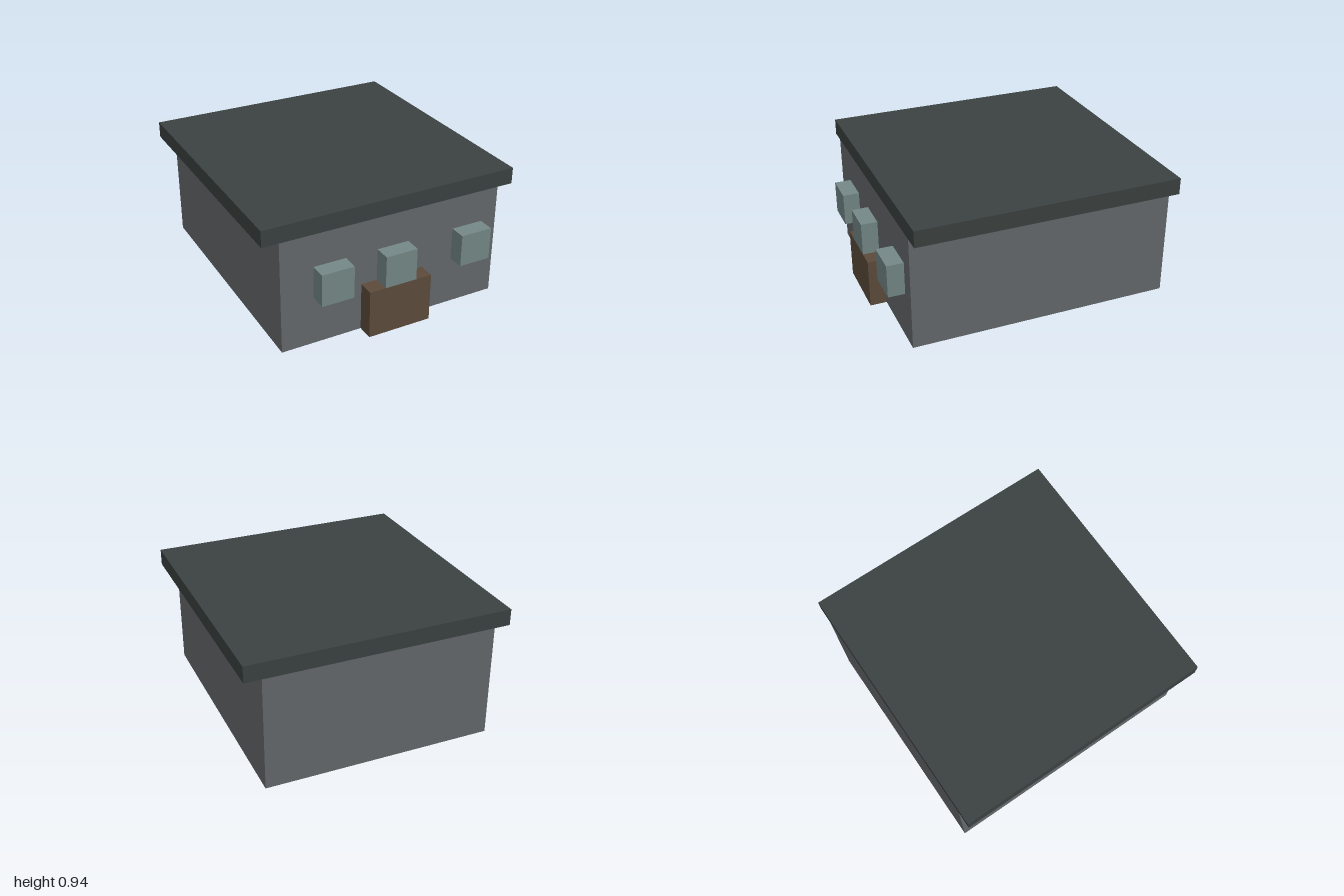
import * as THREE from 'three';

// One block of the building grid
const U = 2 / 17;

const material = (name, color) => {
  const m = new THREE.MeshStandardMaterial({ color });
  m.name = name;
  return m;
};

export function createModel() {
  const house = new THREE.Group();
  house.name = 'house';

  const wallGrey = material('wall grey', 0x65696c);
  const roofSlate = material('roof slate', 0x3b4241);
  const doorBrown = material('door brown', 0x5d4b3b);
  const windowTeal = material('window teal', 0x748887);

  // Box in block units: centre x, bottom y, back z (from the rear wall)
  const addBox = (name, mat, [w, h, d], [x, y, z]) => {
    const mesh = new THREE.Mesh(new THREE.BoxGeometry(w * U, h * U, d * U), mat);
    mesh.position.set(x * U, (y + h / 2) * U, (z + d / 2) * U - 1);
    mesh.name = name;
    house.add(mesh);
  };

  // Main body and the flat roof overhanging left and right
  addBox('walls', wallGrey, [14, 7, 16], [0, 0, 0]);
  addBox('roof', roofSlate, [16, 1, 16], [0, 7, 0]);

  // Front door and the three projecting windows
  addBox('door', doorBrown, [4, 3, 1], [0, 0, 16]);
  const windows = [['rightWindow', -4], ['middleWindow', 0], ['leftWindow', 5]];
  for (const [name, x] of windows) {
    addBox(name, windowTeal, [2, 2, 1], [x, 3, 16]);
  }

  return house;
}
